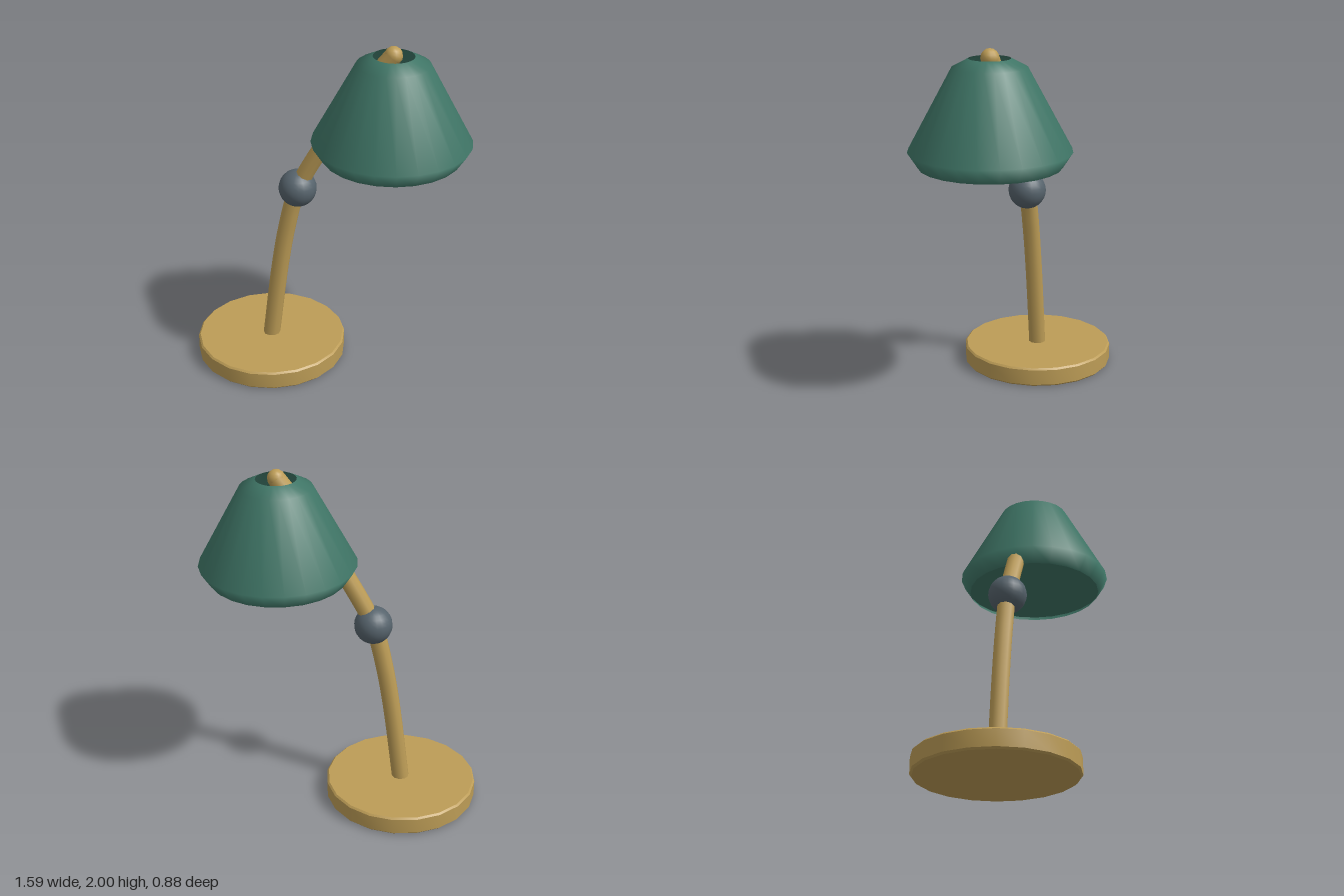
import * as THREE from 'three';
import { toCreasedNormals } from 'three/addons/utils/BufferGeometryUtils.js';

const BASE_X = -0.355, SHADE_X = 0.352;
const v2 = (pts) => pts.map(([x, y]) => new THREE.Vector2(x, y));

export function createModel() {
  const lamp = new THREE.Group();
  lamp.name = 'deskLamp';

  const brass = new THREE.MeshStandardMaterial({ color: 0xbc9c56 });
  const steel = new THREE.MeshStandardMaterial({ color: 0x56636c });
  const green = new THREE.MeshStandardMaterial({ color: 0x3f7566, side: THREE.DoubleSide });
  const glow = new THREE.MeshStandardMaterial({ color: 0xf2cd4e });

  const add = (name, geometry, material, x = 0, y = 0) => {
    const mesh = new THREE.Mesh(geometry, material);
    mesh.name = name;
    mesh.position.set(x, y, 0);
    lamp.add(mesh);
    return mesh;
  };

  // Round base with a slight edge bevel
  const base = new THREE.LatheGeometry(
    v2([[0, 0], [0.43, 0], [0.44, 0.01], [0.44, 0.1], [0.43, 0.11], [0, 0.11]]), 20);
  add('base', toCreasedNormals(base, 0.6), brass, BASE_X);

  // Curved arm running from the base through the joint to the top of the shade
  const path = new THREE.CatmullRomCurve3([
    [-0.357, 0.08], [-0.29, 0.6], [-0.242, 0.87], [-0.18, 1.105],
    [-0.025, 1.4], [0.16, 1.7], [0.35, 1.95],
  ].map(([x, y]) => new THREE.Vector3(x, y, 0)));
  add('arm', new THREE.TubeGeometry(path, 28, 0.05, 10), brass);
  add('armTip', new THREE.SphereGeometry(0.05, 12, 8), brass, 0.35, 1.95);

  // Ball joint
  add('joint', new THREE.SphereGeometry(0.108, 20, 14), steel, -0.18, 1.108);

  // Shade with a turned-in lower rim and an open top
  const shade = new THREE.LatheGeometry(
    v2([[0.385, 1.375], [0.44, 1.46], [0.2, 1.902], [0.112, 1.948]]), 24);
  add('shade', shade, green, SHADE_X);

  // Panel closing the underside, set just inside the rim
  const panel = new THREE.CircleGeometry(0.4, 24).rotateX(Math.PI / 2);
  add('shadePanel', panel, green, SHADE_X, 1.4);

  // Bulb below the top opening
  add('bulb', new THREE.SphereGeometry(0.15, 16, 12), glow, SHADE_X, 1.58);

  return lamp;
}
